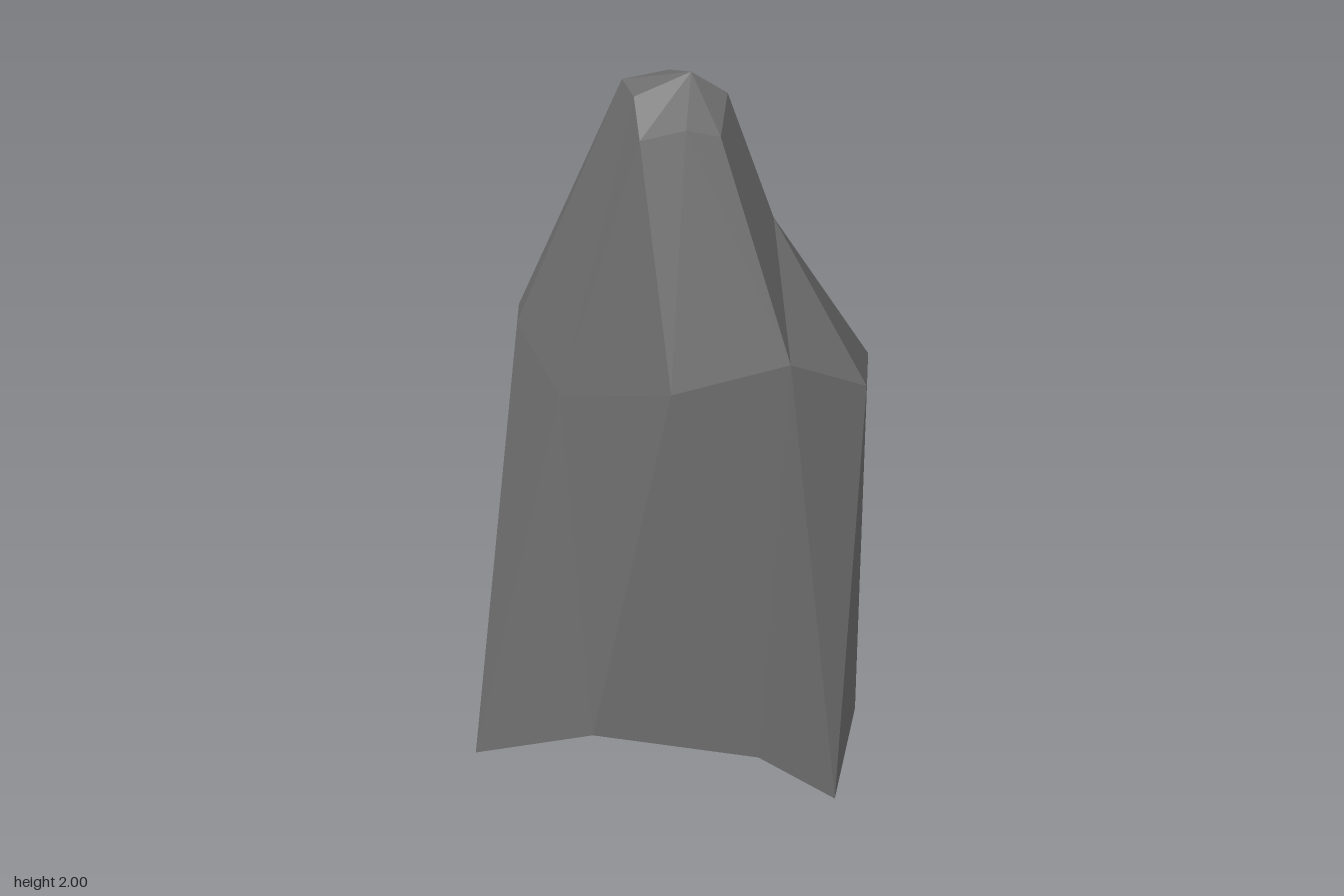
import * as THREE from 'three';

// Faceted rock spire: three rings of corners, outermost at the base, open underneath.
const base = [
  [-0.59, 0.05, 0.09], [-0.48, 0, -0.31], [-0.22, 0.115, -0.37], [0.11, 0.11, -0.52], [0.33, 0.175, -0.34],
  [0.585, 0.255, 0.04], [0.44, 0.38, 0.17], [0.08, 0.37, 0.4], [-0.26, 0.175, 0.52], [-0.455, 0.175, 0.3],
];
const shoulder = [
  [-0.493, 1.28, 0.105], [-0.355, 1.29, -0.165], [-0.035, 1.32, -0.322], [0.12, 1.27, -0.435], [0.295, 1.27, -0.345],
  [0.465, 1.33, -0.135], [0.385, 1.42, 0.04], [0.2, 1.345, 0.235], [-0.12, 1.235, 0.295], [-0.36, 1.32, 0.22],
];
// The crown has fewer corners; the notch sits lower on the back left.
const crown = [
  [-0.125, 1.965, 0.07], [-0.055, 1.985, -0.01], [0.02, 1.945, -0.08], [0.08, 1.953, -0.06],
  [0.143, 1.89, 0.025], [0.09, 1.905, 0.08], [0, 1.87, 0.135], [-0.06, 1.947, 0.095],
];
const notch = [0.17, 1.66, -0.125];
const apex = [0.02, 2, -0.005];

// Two triangles between neighbouring corners of a lower and an upper ring
const band = (a, b, topA, topB) => [[b, a, topB], [a, topA, topB]];

function facetedMesh(name, triangles, material) {
  const geometry = new THREE.BufferGeometry();
  geometry.setAttribute('position', new THREE.Float32BufferAttribute(triangles.flat(2), 3));
  geometry.computeVertexNormals();
  const mesh = new THREE.Mesh(geometry, material);
  mesh.name = name;
  return mesh;
}

export function createModel() {
  const stone = new THREE.MeshStandardMaterial({ color: 0x6a6a6a, flatShading: true, side: THREE.DoubleSide });
  stone.name = 'darkGreyStone';

  // Tall lower walls
  const walls = base.flatMap((p, i) => {
    const j = (i + 1) % base.length;
    return band(p, base[j], shoulder[i], shoulder[j]);
  });

  // Sloping faces joining shoulder and crown
  const slopes = [];
  const pairs = [[0, 0], [1, 1], [2, 2], [6, 4], [7, 5], [8, 6], [9, 7], [0, 0]];
  for (let i = 0; i < pairs.length - 1; i++) {
    if (i === 2) continue; // filled by the notch
    const [m, t] = pairs[i], [n, u] = pairs[i + 1];
    slopes.push(...band(shoulder[m], shoulder[n], crown[t], crown[u]));
  }

  // Fan of faces around the notch
  const rim = [crown[4], crown[3], crown[2], ...shoulder.slice(2, 7)];
  const notchFaces = rim.map((p, i) => [p, notch, rim[(i + 1) % rim.length]].reverse());

  // Small faces around the apex
  const cap = crown.map((p, i) => [p, apex, crown[(i + 1) % crown.length]]);

  const rock = new THREE.Group();
  rock.name = 'rockSpire';
  rock.add(
    facetedMesh('rockWalls', walls, stone),
    facetedMesh('rockSlopes', slopes, stone),
    facetedMesh('rockNotch', notchFaces, stone),
    facetedMesh('rockTip', cap, stone),
  );
  return rock;
}
